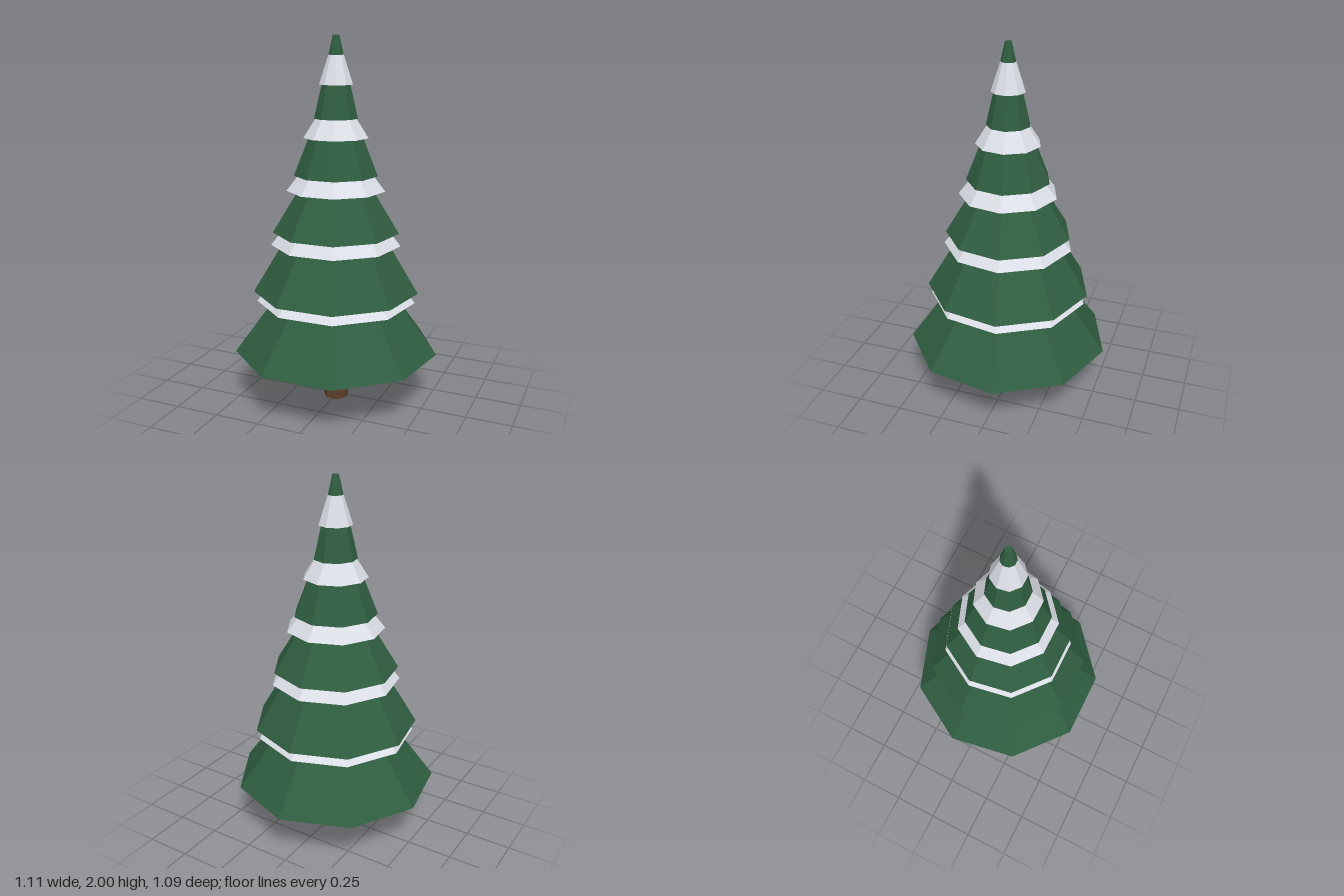
import * as THREE from 'three';

export function createModel() {
  const model = new THREE.Group();
  model.name = 'snowyPine';

  const material = (name, color) => {
    const m = new THREE.MeshStandardMaterial({ color, flatShading: true });
    m.name = name;
    return m;
  };
  const needles = material('needleGreen', 0x2f5d40);
  const snow = material('snowWhite', 0xdde0e8);
  const bark = material('barkBrown', 0x5c3d28);

  // Truncated cone from y0 to y1, one corner pointing to the back
  const frustum = (name, mat, sides, y0, r0, y1, r1) => {
    const geometry = new THREE.CylinderGeometry(r1, r0, y1 - y0, sides);
    geometry.rotateY(Math.PI);
    geometry.translate(0, (y0 + y1) / 2, 0.017);
    const mesh = new THREE.Mesh(geometry, mat);
    mesh.name = name;
    model.add(mesh);
  };

  frustum('trunk', bark, 7, 0, 0.07, 0.36, 0.056);

  // Branch tiers: base height, base radius, top height, top radius
  [
    [0.295, 0.562, 0.72, 0.245],
    [0.64, 0.453, 1.04, 0.21],
    [0.968, 0.344, 1.34, 0.115],
    [1.275, 0.226, 1.63, 0.085],
    [1.575, 0.117, 2, 0.017],
  ].forEach((tier, i) => frustum(`branchTier${i + 1}`, needles, 9, ...tier));

  // Snow collars just under each tier, and the cap near the tip
  [
    [0.585, 0.437, 0.67, 0.364],
    [0.9, 0.354, 1.0, 0.275],
    [1.195, 0.267, 1.305, 0.18],
    [1.475, 0.174, 1.6, 0.094],
    [1.75, 0.09, 1.92, 0.034],
  ].forEach((collar, i) => frustum(`snowCollar${i + 1}`, snow, 9, ...collar));

  return model;
}
